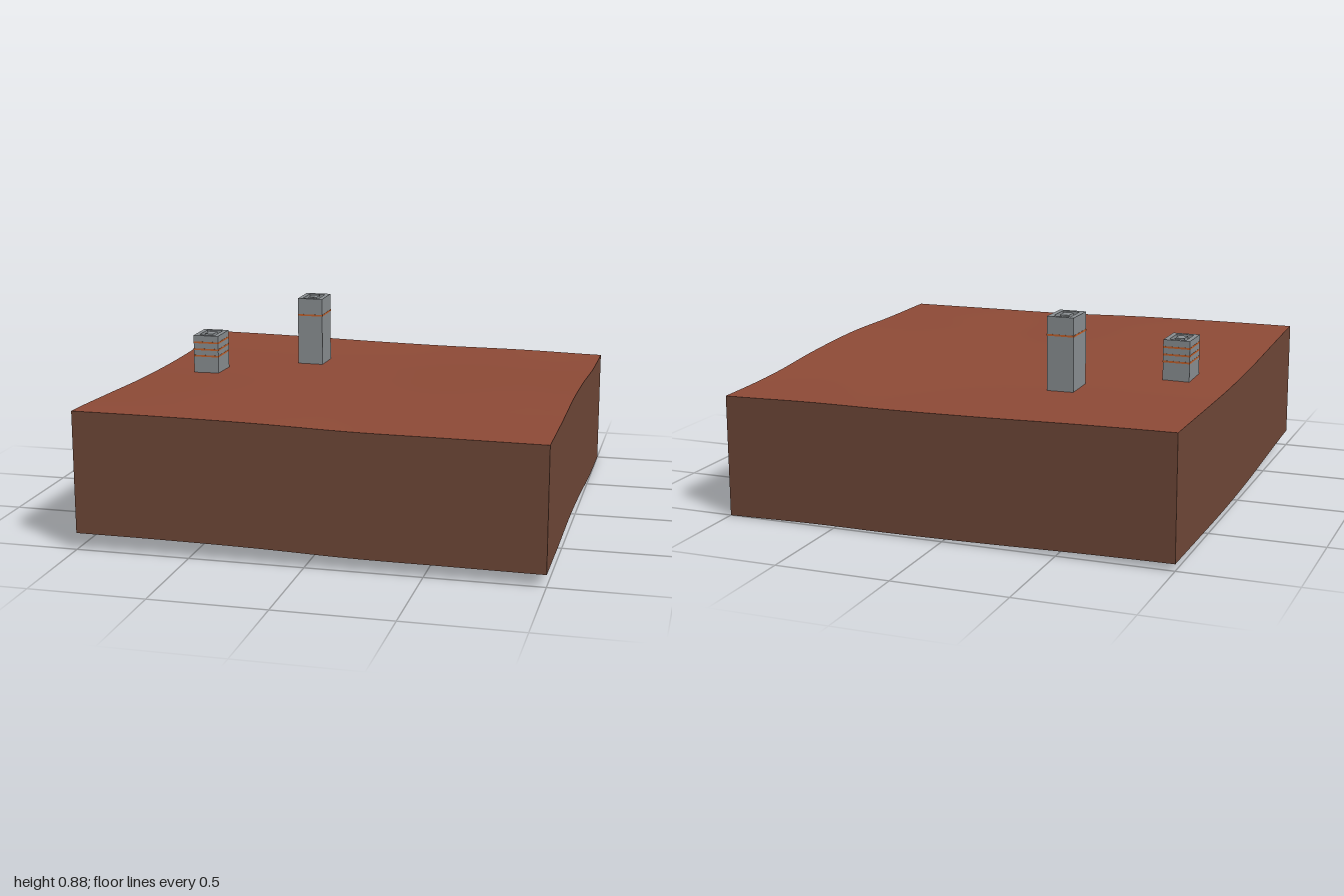
import * as THREE from 'three';

const material = (name, color, side = THREE.FrontSide) => {
  const m = new THREE.MeshStandardMaterial({ color, side });
  m.name = name;
  return m;
};

// Edge heights, evenly spaced from -1 to 1
const edge = (heights) => {
  const curve = new THREE.SplineCurve(heights.map((h, i) => new THREE.Vector2(i, h)));
  return (u) => curve.getPoint(u).y;
};
const back = edge([0.562, 0.557, 0.548, 0.542, 0.541, 0.533]);
const front = edge([0.606, 0.605, 0.600, 0.589, 0.587, 0.585]);
const right = edge([0.562, 0.559, 0.558, 0.568, 0.588, 0.606]);
const left = edge([0.533, 0.542, 0.571, 0.587, 0.583, 0.585]);

// Surface height blended between the four edges
function groundHeight(x, z) {
  const u = (x + 1) / 2, v = (z + 1) / 2;
  const mix = THREE.MathUtils.lerp;
  const corners = mix(mix(back(0), back(1), u), mix(front(0), front(1), u), v);
  return mix(back(u), front(u), v) + mix(right(v), left(v), u) - corners;
}

const N = 24, SKIRT = 0.533;

function groundGeometry() {
  const geo = new THREE.PlaneGeometry(2, 2, N, N).rotateX(-Math.PI / 2);
  const p = geo.attributes.position;
  for (let i = 0; i < p.count; i++) p.setY(i, groundHeight(p.getX(i), p.getZ(i)));
  geo.computeVertexNormals();
  return geo;
}

// Vertical wall hanging from one edge of the ground
function skirtGeometry(angle) {
  const geo = new THREE.PlaneGeometry(2, 1, N, 1).translate(0, 0, 1).rotateY(angle);
  const p = geo.attributes.position;
  for (let i = 0; i < p.count; i++) {
    const top = groundHeight(p.getX(i), p.getZ(i));
    p.setY(i, p.getY(i) > 0 ? top : Math.max(0, top - SKIRT));
  }
  return geo;
}

export function createModel() {
  const model = new THREE.Group();
  model.name = 'terrainWithTowers';
  const soil = material('red soil', 0x8f4b37, THREE.DoubleSide);
  const earth = material('brown earth', 0x704838, THREE.DoubleSide);
  const concrete = material('grey concrete', 0x8b9093);
  const orange = material('orange band', 0xc4622c);

  const add = (parent, name, geo, mat, x = 0, y = 0, z = 0) => {
    const mesh = new THREE.Mesh(geo, mat);
    mesh.name = name;
    mesh.position.set(x, y, z);
    parent.add(mesh);
  };

  add(model, 'groundSurface', groundGeometry(), soil);
  ['front', 'left', 'back', 'right'].forEach((side, i) =>
    add(model, side + 'Wall', skirtGeometry(i * Math.PI / 2), earth));

  // Tower: storeys, orange bands and a parapet round a sunken roof
  function tower(name, x, z, base, top, floors, bands) {
    const W = 0.12, D = 0.16, rim = 0.022, lip = 0.015;
    const g = new THREE.Group();
    g.name = name;
    g.position.set(x, 0, z);
    model.add(g);
    const roof = top - lip, step = (roof - base) / floors;
    for (let i = 0; i < floors; i++)
      add(g, 'storey', new THREE.BoxGeometry(W, step, D), concrete, 0, base + step * (i + 0.5), 0);
    for (const y of bands)
      add(g, 'band', new THREE.BoxGeometry(W + 0.002, 0.008, D + 0.002), orange, 0, y, 0);
    for (const s of [-1, 1]) {
      add(g, 'parapetSide', new THREE.BoxGeometry(rim, lip, D), concrete,
        s * (W - rim) / 2, roof + lip / 2, 0);
      add(g, 'parapetEnd', new THREE.BoxGeometry(W - 2 * rim, lip, rim), concrete,
        0, roof + lip / 2, s * (D - rim) / 2);
    }
    add(g, 'roofBox', new THREE.BoxGeometry(0.04, lip, 0.06), concrete, 0, roof + lip / 2, 0);
  }
  tower('shortTower', -0.75, -0.083, 0.555, 0.742, 5, [0.645, 0.676, 0.709]);
  tower('tallTower', -0.335, -0.418, 0.54, 0.877, 6, [0.797]);

  return model;
}
